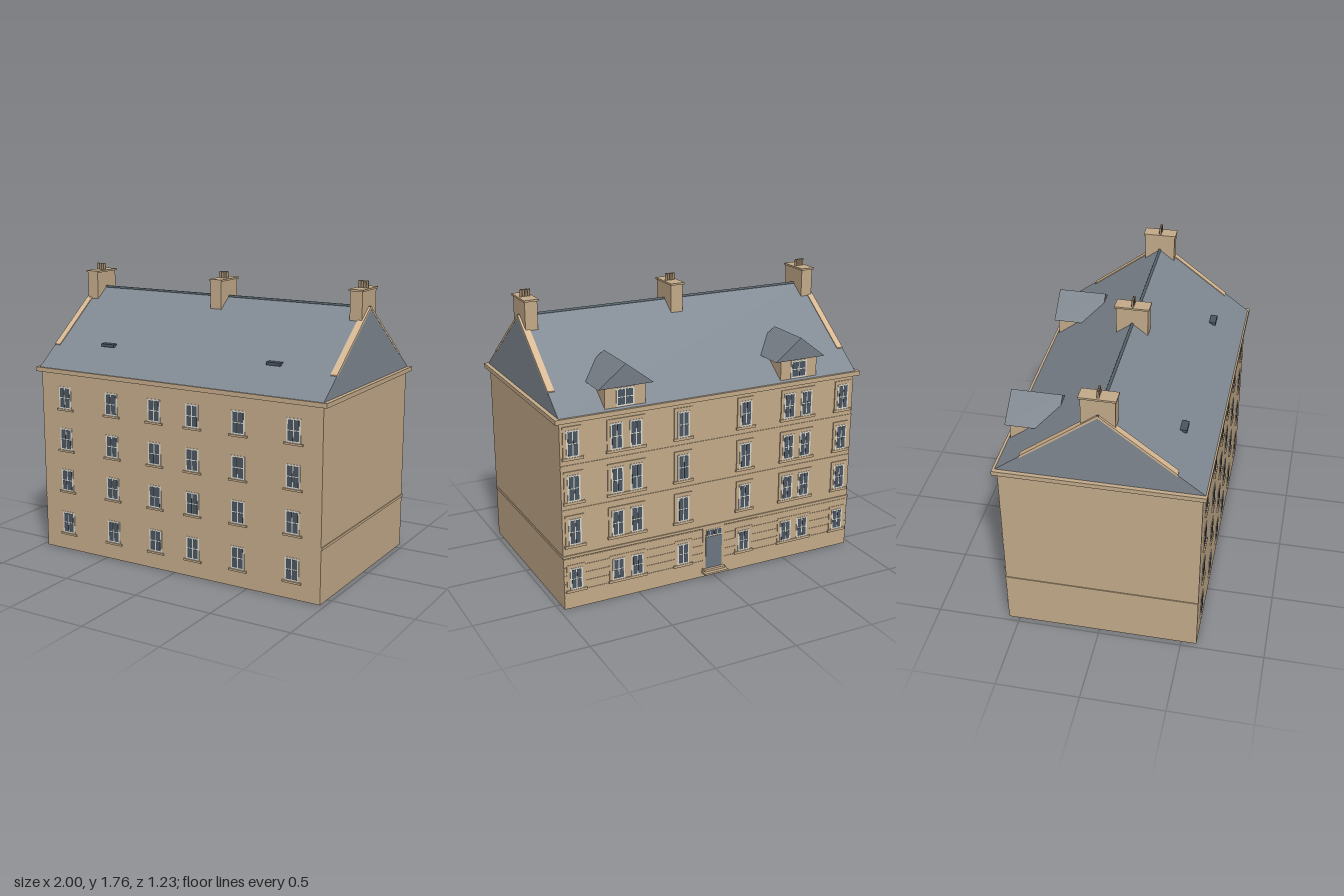
import * as THREE from 'three';

const mat = (name, color) => Object.assign(new THREE.MeshStandardMaterial({ color }), { name });

export function createModel() {
  const stone = mat('stone', 0xc4ab8a);
  const skewStone = mat('skew stone', 0xd6b792);
  const slate = mat('slate', 0x808892);
  const dormerSlate = mat('dormer slate', 0x757d85);
  const lead = mat('ridge lead', 0x536168);
  const glass = mat('glass', 0x4a5562);
  const frame = mat('window frame', 0xd9d6ca);
  const doorPaint = mat('door paint', 0x6c7682);
  const clay = mat('chimney pot clay', 0x9c8568);

  const model = new THREE.Group();
  model.name = 'tenement';

  // Box given by its extents on each axis
  function box(name, material, [x0, x1], [y0, y1], [z0, z1], parent = model) {
    const m = new THREE.Mesh(new THREE.BoxGeometry(x1 - x0, y1 - y0, z1 - z0), material);
    m.position.set((x0 + x1) / 2, (y0 + y1) / 2, (z0 + z1) / 2);
    m.name = name;
    parent.add(m);
    return m;
  }

  // Polygon in the xy plane pushed along z
  function prism(name, material, points, depth, parent = model) {
    const shape = new THREE.Shape(points.map(([x, y]) => new THREE.Vector2(x, y)));
    const m = new THREE.Mesh(new THREE.ExtrudeGeometry(shape, { depth, bevelEnabled: false }), material);
    m.name = name;
    parent.add(m);
    return m;
  }

  const EAVE = 1.165, RIDGE = 1.608, RIDGE_Z = 0.015;
  const PITCH = (RIDGE - EAVE) / 0.59;
  const roofY = (z) => RIDGE - Math.abs(z - RIDGE_Z) * PITCH;

  // Walls, cornice and band course
  box('walls', stone, [-0.97, 0.97], [0, 1.145], [-0.565, 0.592]);
  box('cornice', stone, [-1, 1], [1.138, EAVE], [-0.59, 0.615]);
  box('bandCourse', stone, [-0.975, 0.975], [0.322, 0.338], [-0.572, 0.59]);

  // Main roof: triangular section running along x
  const roof = prism('roof', slate, [[-0.605, EAVE], [0.575, EAVE], [-RIDGE_Z, RIDGE]], 1.95);
  roof.rotation.y = Math.PI / 2;
  roof.position.x = -0.975;
  const ridge = new THREE.Mesh(new THREE.CylinderGeometry(0.009, 0.009, 1.95, 8), lead);
  ridge.rotation.z = Math.PI / 2;
  ridge.position.set(0, RIDGE - 0.003, RIDGE_Z);
  ridge.name = 'ridgeCap';
  model.add(ridge);

  // Raised skews along the gable edges
  for (const side of [-1, 1]) {
    const skew = prism('skew', skewStone, [
      [-0.45, roofY(0.45) - 0.01], [-RIDGE_Z, RIDGE - 0.01], [0.43, roofY(-0.43) - 0.01],
      [0.43, roofY(-0.43) + 0.006], [-RIDGE_Z, RIDGE + 0.006], [-0.45, roofY(0.45) + 0.006],
    ], 0.04);
    skew.rotation.y = Math.PI / 2;
    skew.position.x = side * 0.956 - 0.02;
  }

  // Chimney stacks with a row of pots
  for (const x of [-0.925, 0, 0.925]) {
    const stack = new THREE.Group();
    stack.name = 'chimney';
    stack.position.x = x;
    model.add(stack);
    box('stack', stone, [-0.038, 0.038], [1.48, 1.705], [-0.08, 0.11], stack);
    box('stackCap', stone, [-0.045, 0.045], [1.704, 1.715], [-0.09, 0.117], stack);
    for (let i = 0; i < 4; i++) {
      const pot = new THREE.Mesh(new THREE.CylinderGeometry(0.007, 0.008, 0.042, 10), clay);
      pot.position.set(-0.024 + i * 0.016, 1.735, RIDGE_Z);
      pot.name = 'chimneyPot';
      stack.add(pot);
    }
  }

  // Roof lights on the front slope
  for (const x of [-0.575, 0.575])
    box('roofLight', glass, [x - 0.045, x + 0.045], [1.3, 1.318], [0.39, 0.442]);

  // Window: frame plate with 2 x 2 panes, facing +z at z = 0
  function windowUnit(parent, x, y, w, h) {
    const g = new THREE.Group();
    g.name = 'window';
    g.position.set(x, y, 0);
    parent.add(g);
    box('frame', frame, [-w / 2, w / 2], [0, h], [-0.004, 0.003], g);
    const rim = 0.01, bar = 0.006;
    const pw = (w - 2 * rim - bar) / 2, ph = (h - 2 * rim - bar) / 2;
    for (const px of [rim, rim + pw + bar])
      for (const py of [rim, rim + ph + bar])
        box('pane', glass, [px - w / 2, px - w / 2 + pw], [py, py + ph], [0, 0.0045], g);
  }

  // Front elevation
  const front = new THREE.Group();
  front.name = 'frontElevation';
  front.position.z = 0.592;
  model.add(front);
  for (const y of [0.108, 0.386, 0.652, 0.915])
    for (const x of [-0.795, -0.445, -0.135, 0.13, 0.438, 0.79]) {
      windowUnit(front, x, y, 0.09, 0.14);
      box('sill', stone, [x - 0.06, x + 0.06], [y - 0.012, y], [-0.004, 0.01], front);
    }

  // Back elevation, turned to face -z
  const back = new THREE.Group();
  back.name = 'backElevation';
  back.rotation.y = Math.PI;
  back.position.z = -0.565;
  model.add(back);

  // Coursed ground floor and slim sill courses
  for (let i = 0; i < 5; i++) {
    const y = 0.062 + i * 0.052;
    for (const s of [-1, 1])
      box('groundCourse', stone, s < 0 ? [-0.97, -0.07] : [0.07, 0.97], [y, y + 0.046], [-0.002, 0.003], back);
  }
  for (const y of [0.61, 0.875])
    box('stringCourse', stone, [-0.97, 0.97], [y, y + 0.01], [-0.002, 0.004], back);

  // Stone surround with one or two windows
  const rows = [[0.12, 0.135], [0.4, 0.16], [0.665, 0.16], [0.93, 0.16]];
  for (const [y, h] of rows)
    for (const [x, offsets] of [[0.895, [0]], [0.57, [-0.06, 0.06]], [0.208, [0]]])
      for (const s of [-1, 1]) {
        const half = 0.058 + Math.max(...offsets);
        const bay = new THREE.Group();
        bay.name = 'windowBay';
        bay.position.set(s * x, 0, 0.006);
        back.add(bay);
        box('surround', stone, [-half, half], [y - 0.005, y + h + 0.022], [-0.008, 0], bay);
        box('sill', stone, [-half - 0.006, half + 0.006], [y - 0.016, y], [-0.008, 0.006], bay);
        for (const o of offsets) windowUnit(bay, o, y, 0.078, h);
      }

  // Entrance with fanlight and steps
  box('doorSurround', stone, [-0.075, 0.075], [0.04, 0.322], [-0.004, 0.005], back);
  box('door', doorPaint, [-0.055, 0.055], [0.055, 0.262], [0, 0.008], back);
  box('fanlightFrame', frame, [-0.055, 0.055], [0.266, 0.308], [0, 0.007], back);
  for (let i = 0; i < 4; i++)
    box('fanlightPane', glass, [-0.05 + i * 0.026, -0.028 + i * 0.026], [0.271, 0.303], [0.002, 0.0085], back);
  box('upperStep', stone, [-0.07, 0.07], [0.04, 0.055], [-0.01, 0.026], back);
  box('lowerStep', stone, [-0.08, 0.08], [0.03, 0.041], [-0.01, 0.05], back);

  // Gabled dormers on the back slope
  for (const x of [-0.57, 0.57]) {
    const dormer = new THREE.Group();
    dormer.name = 'dormer';
    dormer.position.x = x;
    model.add(dormer);
    box('dormerWalls', stone, [-0.125, 0.125], [1.15, 1.3], [-0.562, -0.36], dormer);
    const top = prism('dormerRoof', dormerSlate, [[-0.17, 1.295], [0.17, 1.295], [0, 1.426]], 0.3, dormer);
    top.position.z = -0.578;
    const face = new THREE.Group();
    face.name = 'dormerWindow';
    face.rotation.y = Math.PI;
    face.position.z = -0.562;
    dormer.add(face);
    windowUnit(face, 0, 1.178, 0.11, 0.108);
  }

  return model;
}
